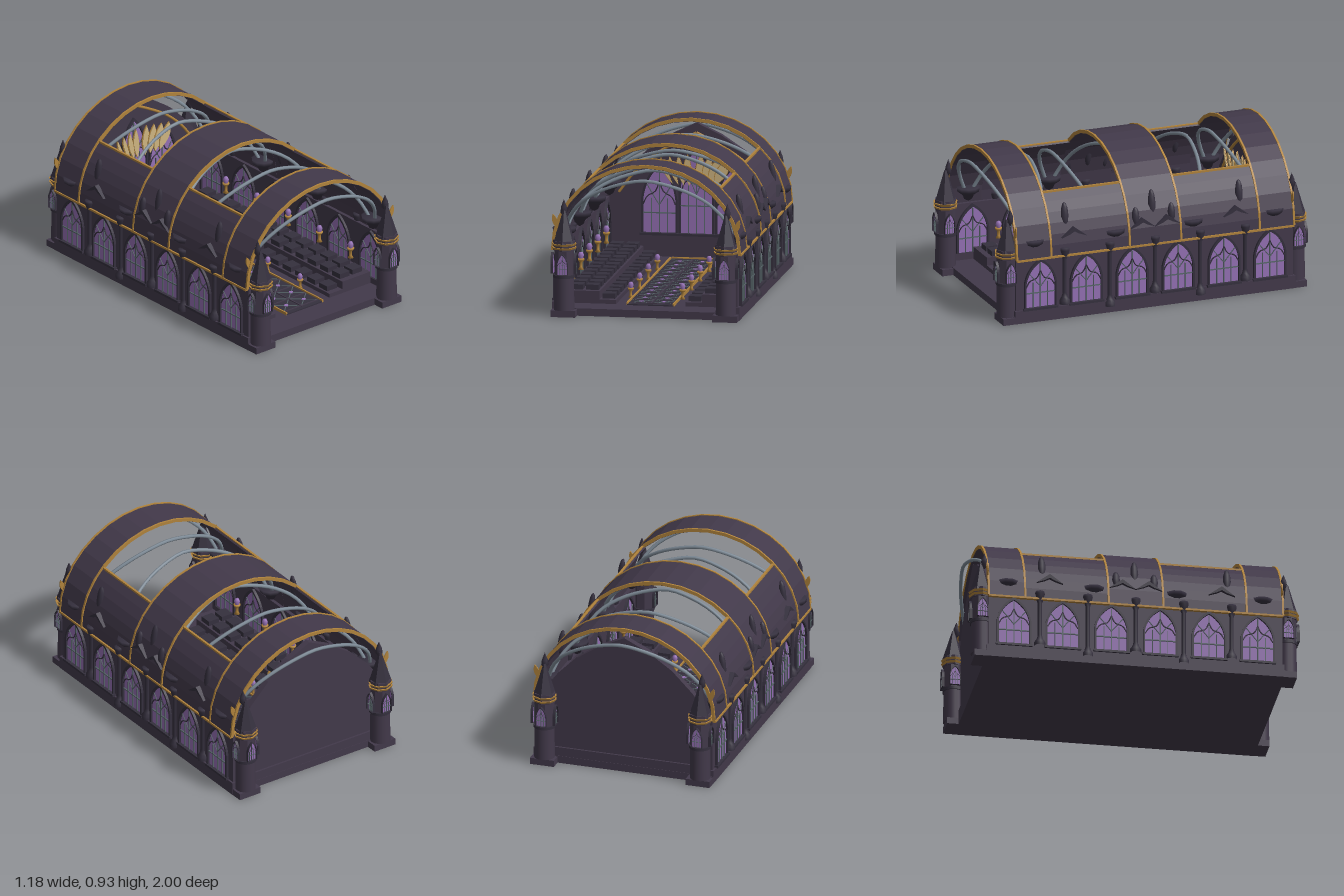
import * as THREE from 'three';

const M = (name, color) => Object.assign(new THREE.MeshStandardMaterial({ color }), { name });
const stone = M('dark stone', 0x42394a);
const slate = M('deep slate', 0x35303e);
const gold = M('gold trim', 0xb0833c);
const tan = M('pale gold', 0xcfb580);
const steel = M('steel rib', 0x7f8c98);
const lead = M('window lead', 0x566468);
const glass = M('violet glass', 0x9470b4);
glass.side = THREE.DoubleSide;

const RX = 0.57, RY = 0.52, SPRING = 0.4;

function add(parent, name, geo, mat, x = 0, y = 0, z = 0) {
  const m = new THREE.Mesh(geo, mat);
  m.name = name;
  m.position.set(x, y, z);
  parent.add(m);
  return m;
}
const box = (p, name, mat, w, h, d, x, y, z) => add(p, name, new THREE.BoxGeometry(w, h, d), mat, x, y, z);
const flat = (g) => { const f = g.toNonIndexed(); f.computeVertexNormals(); return f; };
const prism = (rt, rb, h, n) => flat(new THREE.CylinderGeometry(rt, rb, h, n));
const extrude = (shape, depth) => new THREE.ExtrudeGeometry(shape, { depth, bevelEnabled: false, curveSegments: 8 });
const lathe = (pts, n = 12) => new THREE.LatheGeometry(pts.map(p => new THREE.Vector2(...p)), n);
const tube = (pts, r, n = 24) => new THREE.TubeGeometry(
  new THREE.CatmullRomCurve3(pts.map(p => new THREE.Vector3(...p))), n, r, 6);

// curved strip of the vault between two angles
function vaultStrip(a, b, grow, thick, depth, n) {
  const pts = [];
  for (const [g, from, to] of [[grow, a, b], [grow - thick, b, a]])
    for (let i = 0; i <= n; i++) {
      const t = from + (to - from) * i / n;
      pts.push(new THREE.Vector2((RX + g) * Math.cos(t), SPRING + (RY + g) * Math.sin(t)));
    }
  return extrude(new THREE.Shape(pts), depth);
}

// pointed arch outline standing on y = 0
function lancet(w, h, spring, C = THREE.Shape) {
  const s = new C();
  s.moveTo(-w, 0);
  s.lineTo(w, 0);
  s.lineTo(w, spring);
  s.quadraticCurveTo(w * 0.85, spring + (h - spring) * 0.65, 0, h);
  s.quadraticCurveTo(-w * 0.85, spring + (h - spring) * 0.65, -w, spring);
  s.closePath();
  return s;
}

// traceried window facing +z
function makeWindow(name, w, h, spring) {
  const g = new THREE.Group();
  g.name = name;
  const t = w * 0.13, bar = w * 0.07, cross = (h + spring) / 2;
  const frame = lancet(w + t, h + t * 1.6, spring);
  frame.holes.push(lancet(w, h, spring, THREE.Path));
  add(g, 'windowFrame', extrude(frame, 0.016), slate);
  add(g, 'windowGlass', new THREE.ShapeGeometry(lancet(w, h, spring), 8), glass, 0, 0, 0.003);
  box(g, 'centreMullion', lead, bar, h * 0.97, 0.008, 0, h * 0.485, 0.006);
  box(g, 'transom', lead, w * 2, bar, 0.008, 0, spring * 0.6, 0.006);
  for (const s of [-1, 1]) {
    box(g, 'sideMullion', lead, bar * 0.7, spring * 1.05, 0.008, s * w * 0.5, spring * 0.52, 0.006);
    add(g, 'traceryArch', tube([[s * w, spring * 0.85, 0.008], [s * w * 0.75, spring * 1.1, 0.008],
      [s * w * 0.25, (spring + cross) / 2, 0.008], [0, cross * 1.05, 0.008]], bar * 0.6, 8), slate);
    add(g, 'innerArch', tube([[0, spring * 0.85, 0.008], [s * w * 0.3, spring * 1.08, 0.008],
      [s * w * 0.8, cross, 0.008]], bar * 0.5, 8), lead);
  }
  return g;
}
function placeWindow(p, win, x, y, z, ry = 0) {
  win.position.set(x, y, z);
  win.rotation.y = ry;
  p.add(win);
}

function lantern(p, x, y, z, k) {
  const g = new THREE.Group();
  g.name = 'lantern';
  add(g, 'lanternBody', lathe([[0, 0], [0.016, 0.005], [0.008, 0.02], [0.008, 0.045], [0.018, 0.055], [0.02, 0.065], [0, 0.066]], 8), gold);
  add(g, 'lanternGlow', lathe([[0.012, 0.066], [0.017, 0.085], [0.01, 0.1], [0, 0.102]], 8), glass);
  g.scale.setScalar(k);
  g.position.set(x, y, z);
  p.add(g);
}

function petal(dx, h, w) {
  const s = new THREE.Shape();
  s.moveTo(0, 0);
  s.quadraticCurveTo(dx + w, h * 0.45, dx, h);
  s.quadraticCurveTo(dx * 0.4 - w * 1.3, h * 0.55, 0, 0);
  return s;
}

function makeTower(sx, sz) {
  const g = new THREE.Group();
  g.name = 'cornerTower';
  box(g, 'towerPlinth', stone, 0.15, 0.04, 0.1, 0, 0.02, 0);
  add(g, 'towerDrum', new THREE.CylinderGeometry(0.06, 0.062, 0.2, 16), stone, 0, 0.14, 0);
  add(g, 'drumCap', new THREE.CylinderGeometry(0.067, 0.067, 0.018, 16), slate, 0, 0.245, 0);
  add(g, 'lanternStage', prism(0.06, 0.06, 0.15, 8), stone, 0, 0.325, 0).rotation.y = Math.PI / 8;
  for (const [nx, nz] of [[0, sz], [sx, 0], [-sx, 0]])
    placeWindow(g, makeWindow('towerWindow', 0.03, 0.12, 0.06), nx * 0.062, 0.26, nz * 0.058, Math.atan2(nx, nz));
  for (const y of [0.415, 0.437]) add(g, 'towerGoldRing', prism(0.076, 0.07, 0.012, 8), gold, 0, y, 0);
  add(g, 'towerCornice', prism(0.066, 0.066, 0.06, 8), stone, 0, 0.43, 0);
  add(g, 'towerSpire', prism(0.008, 0.07, 0.2, 6), slate, 0, 0.54, 0);
  add(g, 'towerFinial', lathe([[0, 0.6], [0.022, 0.625], [0.018, 0.66], [0, 0.705]], 6), slate, 0.005 * sx, 0, -0.02 * sz);
  // gilded leaf beside the spire
  const leaf = add(g, 'towerGoldLeaf', extrude(petal(0.03, 0.09, 0.02), 0.008), gold, sx * 0.045, 0.52, -0.035 * sz);
  leaf.rotation.y = sx > 0 ? 0 : Math.PI;
  g.position.set(sx * 0.49, 0, sz * 0.925);
  return g;
}

export function createModel() {
  const root = new THREE.Group();
  root.name = 'vaultedHall';

  // floor and plinth
  box(root, 'floorSlab', stone, 1.13, 0.045, 1.81, 0, 0.0225, 0);

  // vault bands, rims and side roof panels
  for (const [a, b] of [[0.67, 0.89], [-0.165, 0.165], [-0.89, -0.67]]) {
    add(root, 'vaultBand', vaultStrip(0, Math.PI, 0, 0.018, b - a, 16), stone, 0, 0, a);
    for (const z of [a, b]) add(root, 'vaultGoldRim', vaultStrip(0, Math.PI, 0.005, 0.02, 0.012, 16), gold, 0, 0, z - 0.006);
  }
  const t = 0.768, edgeX = RX * Math.cos(t), edgeY = SPRING + RY * Math.sin(t);
  for (const z of [-0.67, 0.165]) for (const s of [1, -1]) {
    add(root, 'roofPanel', s > 0 ? vaultStrip(0, t, -0.004, 0.016, 0.505, 6)
      : vaultStrip(Math.PI - t, Math.PI, -0.004, 0.016, 0.505, 6), stone, 0, 0, z);
    box(root, 'panelGoldEdge', gold, 0.014, 0.012, 0.505, s * edgeX, edgeY - 0.006, z + 0.2525);
  }

  // side walls with windows, columns and roof ornaments
  for (const s of [1, -1]) {
    box(root, 'sideWall', stone, 0.025, 0.36, 1.78, s * 0.5425, 0.22, 0);
    box(root, 'wallPlinth', stone, 0.035, 0.08, 1.8, s * 0.549, 0.04, 0);
    box(root, 'eavesGoldTrim', gold, 0.02, 0.012, 1.78, s * 0.567, 0.396, 0);
    for (let i = 0; i < 6; i++) {
      const z = -0.7375 + i * 0.295;
      placeWindow(root, makeWindow('sideWindow', 0.092, 0.285, 0.15), s * 0.555, 0.092, z, s * Math.PI / 2);
      placeWindow(root, makeWindow('innerWindow', 0.092, 0.285, 0.15), s * 0.53, 0.092, z, -s * Math.PI / 2);
      box(root, 'windowSill', slate, 0.025, 0.014, 0.22, s * 0.565, 0.084, z);
    }
    for (let i = -2; i <= 2; i++) {
      const z = i * 0.29, low = i % 2 ? 0.04 : 0.09;
      add(root, 'wallColumn', lathe([[0.034, low], [0.034, low + 0.025], [0.02, low + 0.045], [0.013, low + 0.07],
        [0.013, 0.37], [0.022, 0.395], [0.032, 0.43], [0.03, 0.445], [0, 0.446]], 8), slate, s * 0.558, 0, z);
      lantern(root, s * 0.5, 0.16, z, 1.1);
    }
    for (const z of [-0.77, -0.25, 0.25, 0.77])
      add(root, 'ribCorbel', lathe([[0, 0.42], [0.025, 0.435], [0.035, 0.46], [0.068, 0.485], [0.072, 0.51], [0, 0.511]], 10), slate, s * 0.515, 0, z);
    for (const [z, y, h] of [[0.56, 0.63, 0.08], [0, 0.63, 0.09], [0.115, 0.57, 0.06], [-0.115, 0.57, 0.06], [-0.56, 0.63, 0.08]]) {
      const bud = add(root, 'roofBud', new THREE.SphereGeometry(1, 8, 6), slate, s * (RX * Math.sqrt(1 - ((y - SPRING) / RY) ** 2) - 0.003), y, z);
      bud.scale.set(0.02, h, 0.024);
      bud.rotation.z = s * 0.15;
    }
    const chevron = new THREE.Shape([[-0.08, 0], [0, 0.06], [0.08, 0], [0.03, 0.018], [0, 0.035], [-0.03, 0.018]].reverse().map(p => new THREE.Vector2(...p)));
    for (const z of [-0.52, -0.08, 0.08, 0.52]) {
      const c = add(root, 'roofGablet', extrude(chevron, 0.03), slate, s * 0.54, 0.505, z);
      c.rotation.y = s * Math.PI / 2;
    }
  }

  // leaning steel ribs in pairs from each corbel
  const arch = [[0.525, 0.44], [0.47, 0.59], [0.4, 0.68], [0.29, 0.755], [0.15, 0.81], [0, 0.838]];
  for (const z0 of [-0.77, -0.25, 0.25, 0.77]) for (const d of [-1, 1]) {
    const half = arch.map(([x, y]) => [x, y, z0 + d * 0.18 * (y - 0.44) / 0.4]);
    const other = half.slice(0, -1).reverse().map(([x, y, z]) => [-x, y, z]);
    add(root, 'steelRib', tube([...half, ...other], 0.011, 28), steel);
  }

  // gabled end wall
  const side = [[0.55, 0.4], [0.43, 0.56], [0.3, 0.69], [0.15, 0.79]];
  const gable = [[-0.55, 0.03], [0.55, 0.03], ...side, [0, 0.862], ...side.map(([x, y]) => [-x, y]).reverse()];
  add(root, 'endWall', extrude(new THREE.Shape(gable.map(p => new THREE.Vector2(...p))), 0.04), stone, 0, 0, -0.89);
  box(root, 'endWallPlinth', stone, 0.9, 0.1, 0.015, 0, 0.05, -0.895);
  for (const s of [1, -1]) {
    add(root, 'gableGoldTrim', tube([[0, 0.803, -0.845], [s * 0.12, 0.742, -0.845], [s * 0.25, 0.665, -0.845],
      [s * 0.37, 0.56, -0.845], [s * 0.47, 0.43, -0.845]], 0.009, 16), gold);
    placeWindow(root, makeWindow('endSideWindow', 0.098, 0.4, 0.2), s * 0.225, 0.19, -0.85);
  }
  placeWindow(root, makeWindow('endCentreWindow', 0.095, 0.51, 0.28), 0, 0.19, -0.848);
  box(root, 'endSill', slate, 0.68, 0.014, 0.04, 0, 0.184, -0.835);

  // fan of gilded petals before the end windows
  for (const s of [1, -1]) for (let i = 0; i < 4; i++) {
    const fan = new THREE.Group();
    fan.name = 'gildedPetal';
    const lean = 0.012 + i * 0.02, h = 0.185 - i * 0.01;
    add(fan, 'petalEdge', extrude(petal(lean * s, h + 0.008, 0.046), 0.006), gold, 0, -0.003, -0.004);
    add(fan, 'petalFace', extrude(petal(lean * s, h, 0.038), 0.006), tan);
    fan.position.set(s * (0.03 + i * 0.033), 0.495 + i * 0.004, -0.77 + i * 0.006);
    root.add(fan);
  }

  // aisle with crossed tiles and gold kerbs
  box(root, 'aisleFloor', slate, 0.28, 0.008, 1.5, 0, 0.048, 0);
  const diamond = new THREE.CylinderGeometry(0.016, 0.016, 0.004, 4);
  for (let r = 0; r < 12; r++) for (const s of [1, -1]) {
    const z = -0.66 + r * 0.12;
    for (const d of [1, -1])
      box(root, 'tileCross', lead, 0.17, 0.004, 0.005, s * 0.068, 0.053, z).rotation.y = d * 0.72;
    box(root, 'tileJoint', stone, 0.13, 0.006, 0.008, s * 0.068, 0.054, z + 0.06);
    add(root, 'tileDiamond', diamond, glass, s * 0.068, 0.055, z);
  }
  box(root, 'aisleSpine', stone, 0.008, 0.006, 1.46, 0, 0.054, 0);
  box(root, 'aisleEndBar', gold, 0.26, 0.008, 0.012, 0, 0.058, -0.75);

  // stepped tiers and seats on both sides
  for (const s of [1, -1]) {
    box(root, 'aisleGoldKerb', gold, 0.009, 0.018, 1.5, s * 0.14, 0.053, 0);
    for (const z of [0.52, 0.22, -0.08, -0.39]) lantern(root, s * 0.157, 0.044, z, 0.98);
    for (const [x, w, top] of [[0.37, 0.32, 0.07], [0.42, 0.22, 0.12]])
      box(root, 'seatTier', stone, w, top - 0.03, 1.5, s * x, (top + 0.03) / 2, -0.02);
    for (let r = 0; r < 13; r++) for (const [x, y] of [[0.26, 0.085], [0.36, 0.135], [0.455, 0.135]])
      box(root, 'seatBlock', slate, 0.075, 0.032, 0.075, s * x, y, -0.7 + r * 0.113);
  }

  for (const sx of [1, -1]) for (const sz of [1, -1]) root.add(makeTower(sx, sz));
  return root;
}
